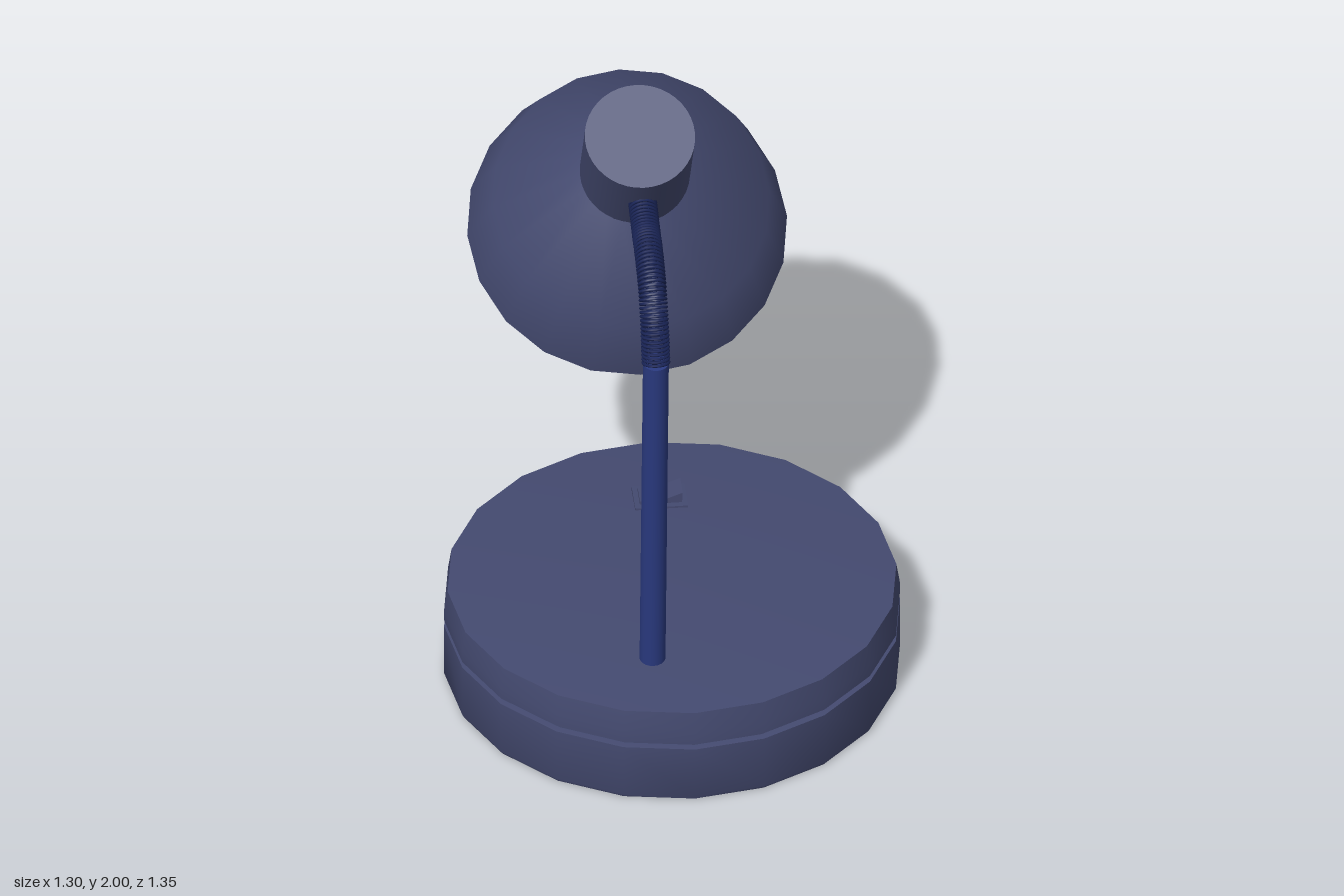
import * as THREE from 'three';
import { toCreasedNormals } from 'three/addons/utils/BufferGeometryUtils.js';

const paint = new THREE.MeshStandardMaterial({ color: 0x444a70 });
const poleBlue = new THREE.MeshStandardMaterial({ color: 0x2a3a80 });
const coilBlue = new THREE.MeshStandardMaterial({ color: 0x1a2558 });
const grey = new THREE.MeshStandardMaterial({ color: 0xcccccc });

function add(parent, name, geometry, material, x = 0, y = 0, z = 0) {
  const mesh = new THREE.Mesh(geometry, material);
  mesh.name = name;
  mesh.position.set(x, y, z);
  parent.add(mesh);
  return mesh;
}

// Turned part: profile of [radius, height], with sharp corners kept
function turned(profile, sides = 20) {
  const points = profile.map(([r, y]) => new THREE.Vector2(r, y));
  return toCreasedNormals(new THREE.LatheGeometry(points, sides), 0.7);
}

function createBase() {
  const base = new THREE.Group();
  base.name = 'base';
  base.position.z = 0.025;
  add(base, 'baseBody', turned([[0, 0], [0.645, 0], [0.65, 0.01], [0.65, 0.178], [0.63, 0.18], [0, 0.18]]), paint);
  add(base, 'baseGroove', turned([[0.63, 0.17], [0.63, 0.21]]), paint);
  add(base, 'baseLid', turned([[0, 0.198], [0.65, 0.198], [0.65, 0.235], [0.64, 0.3], [0, 0.347]]), paint);

  // Rocker switch: bezel with a V-shaped rocker running along x
  const rocker = new THREE.Shape();
  rocker.moveTo(-0.06, 0);
  rocker.lineTo(0.06, 0);
  rocker.lineTo(0.062, 0.036);
  rocker.lineTo(0, 0.012);
  rocker.lineTo(-0.06, 0.014);
  rocker.closePath();
  const rockerGeometry = new THREE.ExtrudeGeometry(rocker, { depth: 0.07, bevelEnabled: false });
  add(base, 'switchBezel', new THREE.BoxGeometry(0.15, 0.022, 0.105), paint, 0, 0.32, -0.345);
  add(base, 'switchRocker', rockerGeometry, paint, 0, 0.328, -0.38);
  return base;
}

function createArm() {
  const arm = new THREE.Group();
  arm.name = 'arm';
  arm.position.x = -0.095;

  // Straight pole leaning slightly forward
  const foot = new THREE.Vector3(0, 0.31, 0.414);
  const top = new THREE.Vector3(0, 1.44, 0.51);
  const pole = add(arm, 'pole', new THREE.CylinderGeometry(0.037, 0.037, foot.distanceTo(top), 20), poleBlue);
  pole.position.copy(foot).add(top).multiplyScalar(0.5);
  pole.rotation.x = Math.atan2(top.z - foot.z, top.y - foot.y);

  // Gooseneck made of closely spaced rings along a curve
  const path = new THREE.CatmullRomCurve3([
    [1.44, 0.51], [1.54, 0.475], [1.63, 0.405], [1.68, 0.31], [1.695, 0.23], [1.73, 0.13],
  ].map(([y, z]) => new THREE.Vector3(0, y, z)));
  const neck = new THREE.Group();
  neck.name = 'gooseneck';
  arm.add(neck);
  const ringGeometry = new THREE.TorusGeometry(0.037, 0.0045, 6, 20);
  const forward = new THREE.Vector3(0, 0, 1);
  const count = 46;
  for (let i = 0; i < count; i++) {
    const t = i / (count - 1);
    const ring = add(neck, 'neckRing', ringGeometry, coilBlue);
    ring.position.copy(path.getPointAt(t));
    ring.quaternion.setFromUnitVectors(forward, path.getTangentAt(t));
  }
  return arm;
}

function createHead() {
  // Local origin is the centre of the cap's top, with the shade hanging below
  const head = new THREE.Group();
  head.name = 'head';
  head.position.set(-0.097, 1.92, 0.08);
  head.rotation.x = 0.55;
  add(head, 'cap', new THREE.CylinderGeometry(0.157, 0.157, 0.28, 40), paint, 0, -0.14, 0);
  add(head, 'shade', turned([[0.405, -0.692], [0.456, -0.692], [0.395, -0.484], [0.157, -0.27]]), paint);
  add(head, 'shadeLining', turned([[0, -0.33], [0.2, -0.33], [0.345, -0.484], [0.405, -0.692]]), grey);
  add(head, 'bulb', new THREE.SphereGeometry(0.09, 24, 16), grey, 0, -0.47, 0);
  add(head, 'bulbNeck', new THREE.CylinderGeometry(0.04, 0.04, 0.12, 20), grey, 0, -0.37, 0);
  return head;
}

export function createModel() {
  const lamp = new THREE.Group();
  lamp.name = 'deskLamp';
  lamp.add(createBase(), createArm(), createHead());
  return lamp;
}
